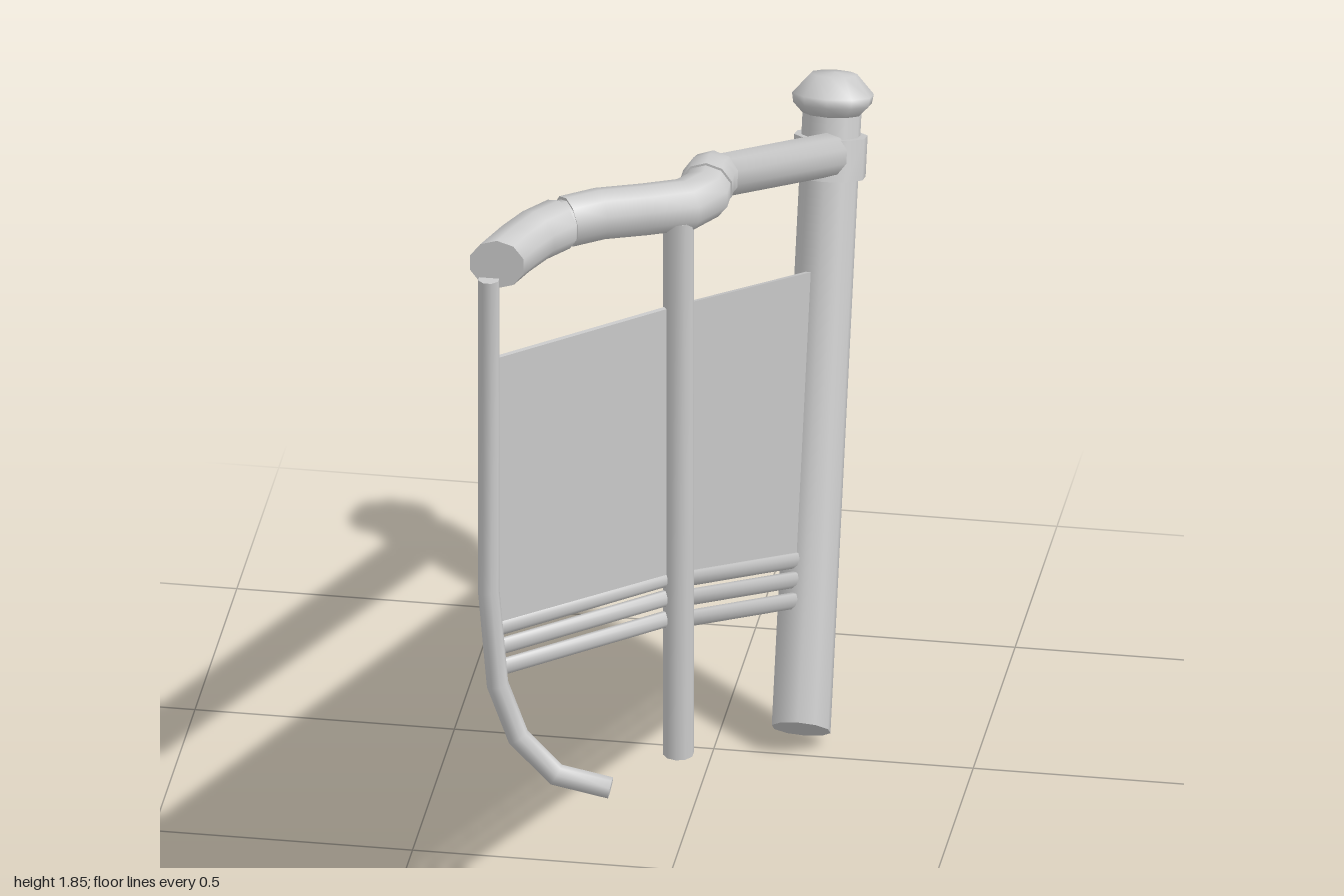
import * as THREE from 'three';

const V = (x, y, z) => new THREE.Vector3(x, y, z);
const mat = new THREE.MeshStandardMaterial({ color: 0xcccccc });
const SIDES = 10;

// Mitred pipe along points; cutA / cutB optionally slant the end faces.
function pipe(points, ru, { rv = ru, cutA, cutB, sides = SIDES } = {}) {
  const n = points.length;
  const dirs = points.slice(1).map((p, i) => p.clone().sub(points[i]).normalize());
  const d0 = dirs[0];
  const u = (Math.abs(d0.y) > 0.9 ? V(0, 0, 1) : V(0, 1, 0)).cross(d0).normalize();
  const v = d0.clone().cross(u);
  let ring = [];
  for (let j = 0; j < sides; j++) {
    const a = ((j + 0.5) / sides) * Math.PI * 2;
    ring.push(points[0].clone().addScaledVector(u, ru * Math.cos(a)).addScaledVector(v, rv * Math.sin(a)));
  }
  const pos = [], idx = [];
  const push = (p) => pos.push(p.x, p.y, p.z);
  const rings = [];
  points.forEach((p, i) => {
    const d = dirs[Math.max(0, i - 1)];
    let plane = d.clone().add(dirs[Math.min(i, n - 2)]);
    if (i === 0 && cutA) plane = cutA;
    if (i === n - 1 && cutB) plane = cutB;
    // slide the previous ring along the segment onto this plane
    ring = ring.map((q) => q.clone().addScaledVector(d, p.clone().sub(q).dot(plane) / d.dot(plane)));
    rings.push(ring);
    ring.forEach(push);
  });
  for (let i = 0; i < n - 1; i++) {
    for (let j = 0; j < sides; j++) {
      const a = i * sides + j, b = i * sides + (j + 1) % sides;
      idx.push(a, b, b + sides, a, b + sides, a + sides);
    }
  }
  // end faces
  [[rings[0], true], [rings[n - 1], false]].forEach(([r, flip]) => {
    const s = pos.length / 3;
    r.forEach(push);
    for (let j = 1; j < sides - 1; j++) idx.push(s, s + (flip ? j + 1 : j), s + (flip ? j : j + 1));
  });
  const g = new THREE.BufferGeometry();
  g.setAttribute('position', new THREE.Float32BufferAttribute(pos, 3));
  g.setIndex(idx);
  g.computeVertexNormals();
  return g;
}

export function createModel() {
  const group = new THREE.Group();
  const add = (name, geometry) => {
    const m = new THREE.Mesh(geometry, mat);
    m.name = name;
    group.add(m);
    return m;
  };

  // Leaning newel post, cut on a slant at the foot
  const X = 0.163;
  const foot = V(X, 0.045, -0.533), lean = V(0, 0.951, -0.309);
  const along = (t) => foot.clone().addScaledVector(lean, t);
  add('newelPost', pipe([foot, along(1.2)], 0.057, { cutA: V(0, 0.77, -0.63) }));
  add('newelCollar', pipe([along(1.07), along(1.15)], 0.071));

  // Domed cap on the newel post
  const capProfile = [[0, 1.19], [0.055, 1.19], [0.076, 1.212], [0.079, 1.23], [0.045, 1.268], [0, 1.272]];
  const cap = add('newelCap', new THREE.LatheGeometry(capProfile.map(([r, y]) => new THREE.Vector2(r, y)), SIDES));
  cap.position.copy(foot);
  cap.quaternion.setFromUnitVectors(V(0, 1, 0), lean.clone().normalize());

  // Sloping handrail and its elbow
  add('slopingHandrail', pipe([V(X, 1.80, 0.56), V(X, 1.12, -0.84)], 0.043));
  add('railElbow', pipe([V(X, 1.80, 0.6), V(X, 1.80, 0.57), V(X, 1.785, 0.53)], 0.052));

  // Level handrail: S-bend, narrow joint and flared end piece
  const level = (list) => list.map(([x, z]) => V(x, 1.8, z));
  add('curvedHandrail', pipe(level([[X, 0.605], [X, 0.63], [0.135, 0.675], [0.06, 0.708], [-0.02, 0.738], [-0.078, 0.78]]), 0.05));
  add('railJoint', pipe(level([[-0.06, 0.765], [-0.11, 0.82]]), 0.045));
  add('railJoint', pipe(level([[X, 0.57], [X, 0.63]]), 0.045));
  add('handrailEnd', pipe(level([[-0.09, 0.793], [-0.128, 0.845], [-0.155, 0.905], [-0.18, 0.975]]), 0.051, { cutB: V(0, 0, 1) }));

  // Upright posts, the front one hooking inward at the bottom
  add('middlePost', pipe([V(0.125, 0.63, 0.697), V(0.125, 1.78, 0.697)], 0.03));
  const hook = [[-0.195, 1.77], [-0.195, 1.1], [-0.178, 0.9], [-0.138, 0.79], [-0.065, 0.715], [0.04, 0.695]];
  add('frontPost', pipe(hook.map(([x, y]) => V(x, y, 0.979)), 0.021, { sides: 8 }));

  // Lower bars running level, then down the slope
  for (const y of [0.925, 0.97, 1.012]) {
    add('lowerBar', pipe([
      V(-0.19, y, 0.97), V(0.10, y, 0.715), V(0.14, y - 0.02, 0.665), V(0.14, y - 0.02 - 0.49 * 1.29, -0.625),
    ], 0.011, { rv: 0.017, sides: 8 }));
  }

  // Sloping infill panel
  const outline = new THREE.Shape([[0.69, 1.0], [0.69, 1.597], [-0.79, 0.894], [-0.635, 0.352]].map(([z, y]) => new THREE.Vector2(z, y)));
  const slope = add('slopingPanel', new THREE.ExtrudeGeometry(outline, { depth: 0.01, bevelEnabled: false }));
  slope.rotation.y = -Math.PI / 2;
  slope.position.x = 0.145;

  // Level infill panel set across the corner
  const a = V(-0.19, 0, 0.97), b = V(0.12, 0, 0.7);
  const panel = add('levelPanel', new THREE.BoxGeometry(a.distanceTo(b), 0.58, 0.01));
  panel.position.copy(a).add(b).multiplyScalar(0.5).setY(1.305);
  panel.rotation.y = Math.atan2(a.z - b.z, b.x - a.x);

  return group;
}
